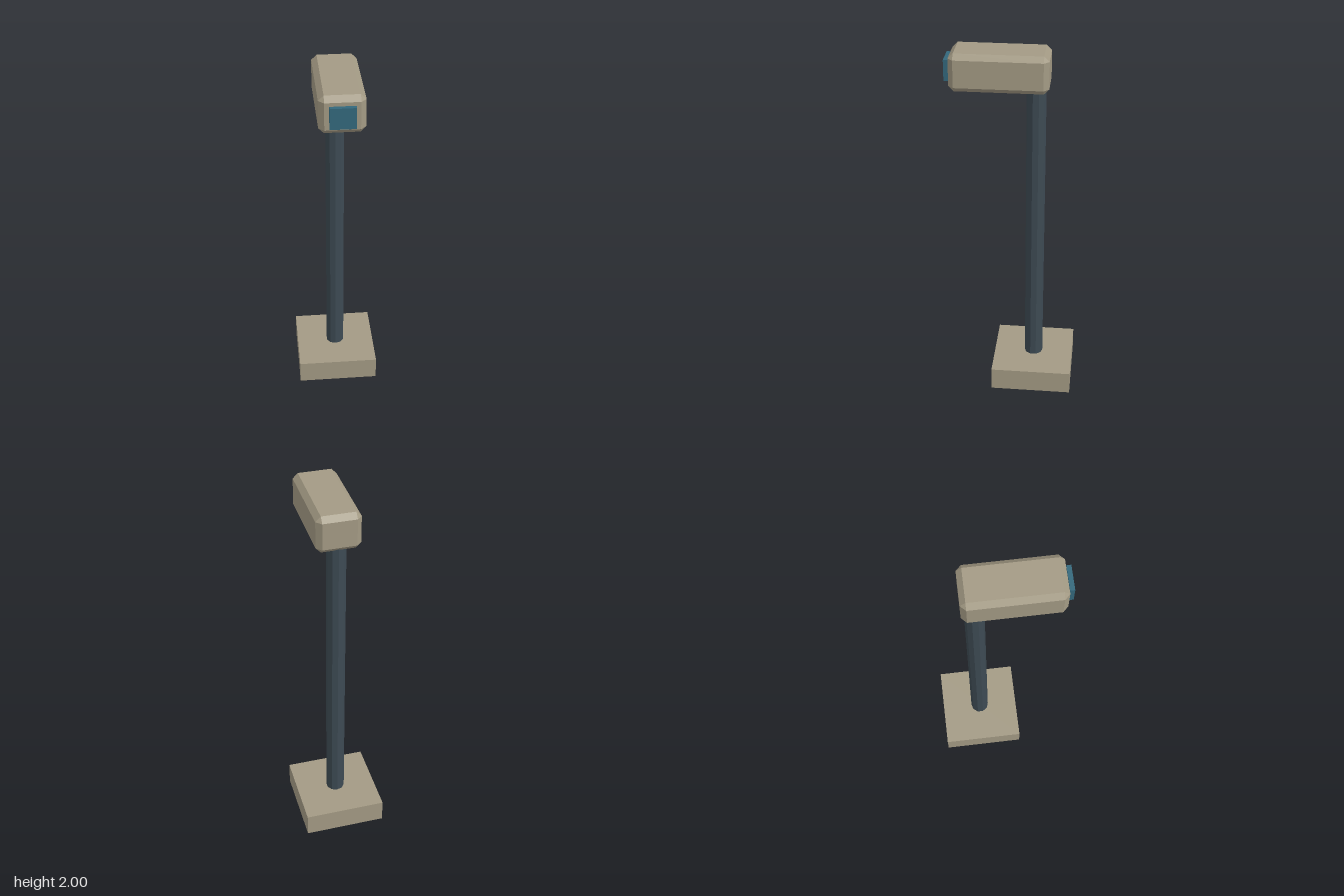
import * as THREE from 'three';
import { ConvexGeometry } from 'three/addons/geometries/ConvexGeometry.js';

// Box with every edge cut at 45 degrees and every corner a triangle
function chamferedBox(w, h, d, c) {
  const points = [];
  for (const sx of [-1, 1]) for (const sy of [-1, 1]) for (const sz of [-1, 1]) {
    const x = w / 2, y = h / 2, z = d / 2;
    points.push(
      new THREE.Vector3(sx * x, sy * (y - c), sz * (z - c)),
      new THREE.Vector3(sx * (x - c), sy * y, sz * (z - c)),
      new THREE.Vector3(sx * (x - c), sy * (y - c), sz * z));
  }
  return new ConvexGeometry(points);
}

export function createModel() {
  const group = new THREE.Group();
  const material = (color) => new THREE.MeshStandardMaterial({ color, flatShading: true });
  const beige = material(0xa39a84);
  const slate = material(0x3d4a53);
  const blue = material(0x33687c);

  const add = (name, geometry, mat, x, y, z) => {
    const mesh = new THREE.Mesh(geometry, mat);
    mesh.name = name;
    mesh.position.set(x, y, z);
    group.add(mesh);
  };

  // Square foot and ten-sided post, both set towards the back
  const postZ = -0.125;
  add('base', new THREE.BoxGeometry(0.454, 0.132, 0.454), beige, 0, 0.066, postZ);
  add('post', new THREE.CylinderGeometry(0.052, 0.052, 1.85, 10), slate, 0, 0.925, postZ);

  // Chamfered head reaching forward, with a pane just ahead of its front
  add('head', chamferedBox(0.236, 0.204, 0.52, 0.028), beige, 0, 1.898, 0.064);
  add('lens', new THREE.BoxGeometry(0.132, 0.113, 0.024), blue, 0, 1.898, 0.34);

  return group;
}
